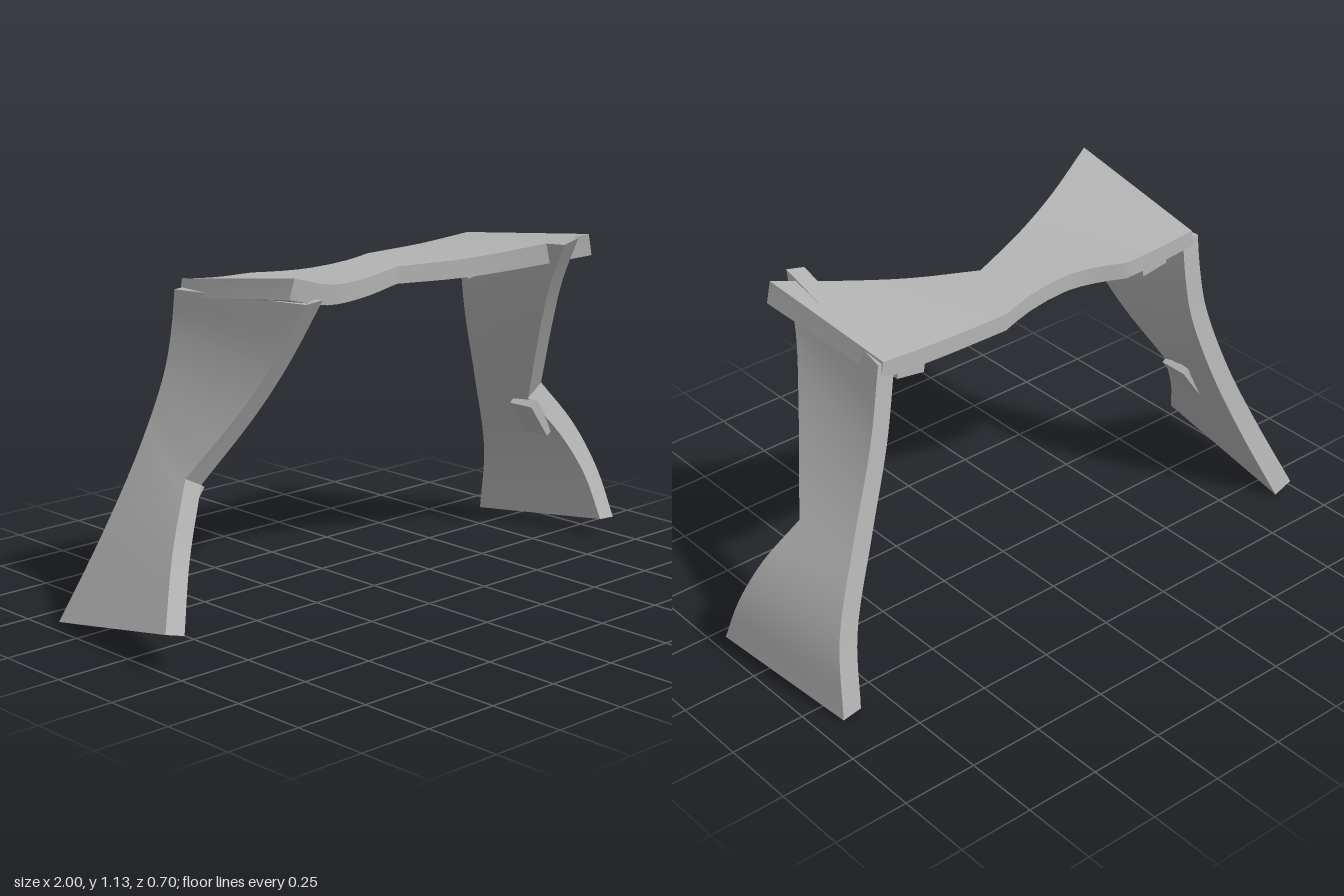
import * as THREE from 'three';
import { toCreasedNormals } from 'three/addons/utils/BufferGeometryUtils.js';

const STEPS = 24;

// An edge is a list of curved runs; each point is [x, y, z, dx, dy],
// with dx, dy leading to the other side of the board's thickness.
function sampleEdge(runs) {
  const n = STEPS / runs.length, near = [], far = [];
  runs.forEach((run, k) => {
    const a = new THREE.CatmullRomCurve3(run.map(p => new THREE.Vector3(p[0], p[1], p[2])));
    const b = new THREE.CatmullRomCurve3(run.map(p => new THREE.Vector3(p[0] + p[3], p[1] + p[4], p[2])));
    for (let i = k ? 1 : 0; i <= n; i++) {
      near.push(a.getPoint(i / n));
      far.push(b.getPoint(i / n));
    }
  });
  return [near, far];
}

// Twisted board between a front edge and a back edge
function boardGeometry(front, back) {
  const [a, b] = sampleEdge(front), [d, c] = sampleEdge(back);
  const rails = [a, b, c, d], pos = [];
  const quad = (...q) => [0, 1, 2, 0, 2, 3].forEach(i => pos.push(q[i].x, q[i].y, q[i].z));
  for (let i = 0; i < STEPS; i++) {
    rails.forEach((r, k) => {
      const s = rails[(k + 1) % 4];
      quad(r[i], s[i], s[i + 1], r[i + 1]);
    });
  }
  quad(a[0], d[0], c[0], b[0]);
  quad(a[STEPS], b[STEPS], c[STEPS], d[STEPS]);
  const geo = new THREE.BufferGeometry();
  geo.setAttribute('position', new THREE.Float32BufferAttribute(pos, 3));
  return toCreasedNormals(geo, 0.5);
}

export function createModel() {
  const group = new THREE.Group();
  const grey = new THREE.MeshStandardMaterial({ color: 0xb4b4b4 });
  grey.name = 'grey';
  const add = (name, geo) => {
    const mesh = new THREE.Mesh(geo, grey);
    mesh.name = name;
    group.add(mesh);
    return mesh;
  };

  // Seat: notched front edge, shallow dip in the back edge
  const notch = [0.04, 1.05, 0.06, 0, -0.055];
  const dipStart = [-0.34, 1.046, -0.19, 0, -0.055], dipEnd = [0.15, 1.046, -0.19, 0, -0.055];
  add('seat', boardGeometry(
    [
      [[-0.645, 1.14, 0.35, -0.02, -0.06], [-0.42, 1.08, 0.255, -0.01, -0.06], [-0.2, 1.055, 0.16, 0, -0.057], notch],
      [notch, [0.25, 1.06, 0.15, 0, -0.06], [0.45, 1.085, 0.24, 0.01, -0.065], [0.635, 1.115, 0.325, 0.015, -0.07]],
    ],
    [
      [[-0.615, 1.062, -0.19, -0.01, -0.055], [-0.48, 1.05, -0.19, 0, -0.055], dipStart],
      [dipStart, [-0.25, 1.045, -0.15, 0, -0.055], [-0.15, 1.045, -0.128, 0, -0.055], [0.02, 1.045, -0.148, 0, -0.055], dipEnd],
      [dipEnd, [0.4, 1.05, -0.19, 0, -0.055], [0.61, 1.062, -0.19, 0.01, -0.055]],
    ]));

  // Right leg, from the foot up: flared straight shin, curved thigh
  const rightKnee = [-0.762, 0.505, -0.01, 0.06, -0.03];
  add('rightLeg', boardGeometry(
    [
      [[-1, 0.125, 0.18, 0.07, -0.02], [-0.885, 0.315, 0.075, 0.065, -0.028], rightKnee],
      [rightKnee, [-0.66, 0.7, 0.11, 0.065, -0.015], [-0.607, 0.85, 0.2, 0.065, -0.005], [-0.575, 1.05, 0.32, 0.065, 0.005]],
    ],
    [
      [[-0.99, 0.03, -0.35, 0.07, -0.025], [-0.86, 0.3, -0.29, 0.065, -0.025], [-0.745, 0.55, -0.25, 0.062, -0.02],
        [-0.67, 0.78, -0.215, 0.065, -0.01], [-0.65, 0.92, -0.2, 0.065, 0], [-0.648, 1.035, -0.185, 0.065, 0.005]],
    ]));

  // Left leg, from the top down: straight thigh, bowed shin
  const leftKnee = [0.83, 0.535, -0.045, -0.065, -0.045];
  add('leftLeg', boardGeometry(
    [
      [[0.555, 1.115, 0.352, -0.065, -0.015], [0.61, 0.96, 0.24, -0.065, -0.02], [0.69, 0.8, 0.13, -0.065, -0.03], leftKnee],
      [leftKnee, [0.92, 0.39, 0.025, -0.065, -0.03], [0.975, 0.23, 0.09, -0.065, -0.01], [0.995, 0.065, 0.15, -0.067, 0.005]],
    ],
    [
      [[0.625, 1.055, -0.185, -0.06, -0.005], [0.685, 0.82, -0.215, -0.06, -0.02], [0.78, 0.56, -0.25, -0.063, -0.025],
        [0.885, 0.27, -0.3, -0.065, -0.015], [0.92, 0.01, -0.35, -0.065, 0.012]],
    ]));

  for (const [side, s, kneeX] of [['left', 1, 0.8], ['right', -1, -0.745]]) {
    // Small block on the inner face beside the knee
    const knee = add(side + 'KneeBlock', new THREE.BoxGeometry(0.035, 0.14, 0.1));
    knee.position.set(kneeX, 0.42, -0.06);
    knee.rotation.z = s * 0.62;

    // Bracket under the seat where the leg meets it
    const bracket = add(side + 'Bracket', new THREE.BoxGeometry(0.1, 0.06, 0.14));
    bracket.position.set(s * 0.485, 0.985, -0.09);
    bracket.rotation.z = s * 0.15;
  }
  return group;
}
